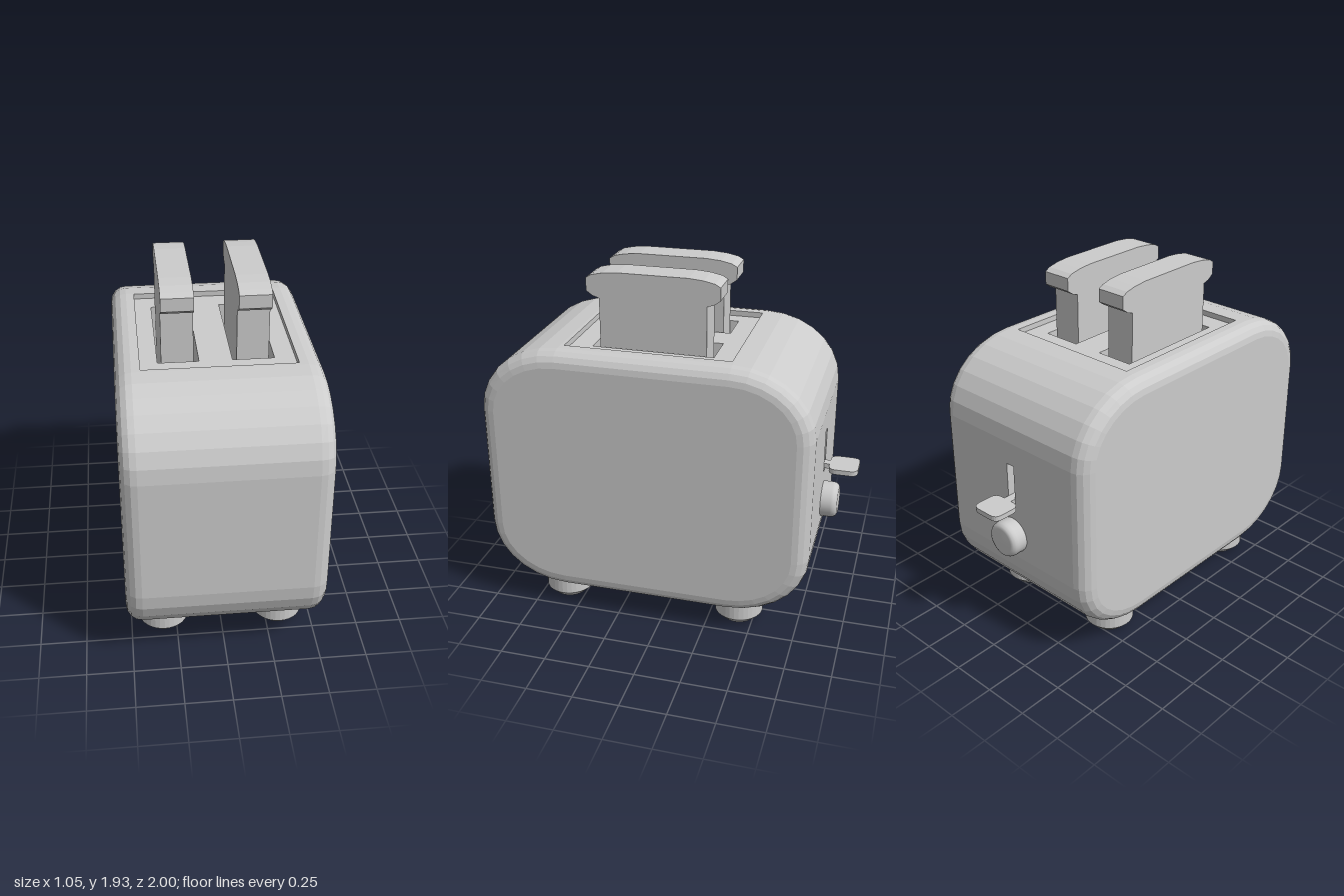
import * as THREE from 'three';

const flat = new THREE.MeshStandardMaterial({ color: 0xcccccc, flatShading: true });
const smooth = new THREE.MeshStandardMaterial({ color: 0xcccccc });

const rect = (x0, y0, x1, y1, Type = THREE.Shape) =>
  new Type([[x0, y0], [x1, y0], [x1, y1], [x0, y1]].map(p => new THREE.Vector2(...p)));

const extrude = (shape, depth) =>
  new THREE.ExtrudeGeometry(shape, { depth, bevelEnabled: false, curveSegments: 6 });

// Horizontal slab: shape drawn in (x, -z), rising from y
const slab = (shape, y, height) => extrude(shape, height).rotateX(-Math.PI / 2).translate(0, y, 0);

// Body dimensions
const BACK = -0.81, FRONT = 1, BOTTOM = 0.13, TOP = 1.56, RZ = 0.44, RY = 0.37;
const OPEN = 0.41, STEPS = 7;

// Side profile as [z, y] points, shrunk by inset
function profile(inset) {
  const pts = [];
  const centres = [[FRONT - RZ, TOP - RY], [BACK + RZ, TOP - RY], [BACK + RZ, BOTTOM + RY], [FRONT - RZ, BOTTOM + RY]];
  centres.forEach(([cz, cy], q) => {
    for (let i = 0; i <= STEPS; i++) {
      const a = (q + i / STEPS) * Math.PI / 2;
      pts.push([cz + (RZ - inset) * Math.cos(a), cy + (RY - inset) * Math.sin(a)]);
    }
  });
  return pts;
}

// Rounded shell, left open at the top and back where the panels sit
function shellGeometry() {
  const half = [[OPEN, 0]];
  for (let i = 0; i <= 4; i++) {
    const a = i / 4 * Math.PI / 2;
    half.push([0.44 + 0.085 * Math.sin(a), 0.085 * (1 - Math.cos(a))]);
  }
  const rings = [...half.map(([x, t]) => [-x, t]).reverse(), ...half];
  const pos = [], idx = [];
  for (const [x, t] of rings) for (const [z, y] of profile(t)) pos.push(x, y, z);
  const n = 4 * (STEPS + 1), middle = half.length - 1;
  for (let i = 0; i < rings.length - 1; i++) {
    for (let j = 0; j < n; j++) {
      if (i === middle && (j === STEPS || j === 2 * STEPS + 1)) continue;
      const k = (j + 1) % n;
      const a = i * n + j, b = i * n + k, c = b + n, d = a + n;
      idx.push(a, d, c, a, c, b);
    }
  }
  const last = (rings.length - 1) * n;
  for (let j = 1; j < n - 1; j++) {
    idx.push(0, j, j + 1, last, last + j + 1, last + j);
  }
  const g = new THREE.BufferGeometry();
  g.setAttribute('position', new THREE.Float32BufferAttribute(pos, 3));
  g.setIndex(idx);
  g.computeVertexNormals();
  return g;
}

// Bread slice: narrow body with a wider rounded crown
function toastGeometry() {
  const half = [[0.29, 1.02], [0.29, 1.79], [0.325, 1.8], [0.36, 1.825], [0.36, 1.895], [0.33, 1.912], [0.27, 1.925], [0.19, 1.932]];
  const pts = [...half, ...half.map(([z, y]) => [-z, y]).reverse()];
  const shape = new THREE.Shape(pts.map(p => new THREE.Vector2(...p)));
  return extrude(shape, 0.165).rotateY(Math.PI / 2).translate(-0.0825, 0, 0.095);
}

export function createModel() {
  const group = new THREE.Group();
  const add = (name, geometry, material = flat, x = 0, y = 0, z = 0) => {
    const mesh = new THREE.Mesh(geometry, material);
    mesh.name = name;
    mesh.position.set(x, y, z);
    group.add(mesh);
    return mesh;
  };

  add('body', shellGeometry());

  // Recessed top: flush rim, then a lower tray with two slots
  const rim = rect(-OPEN, -(FRONT - RZ), OPEN, -(BACK + RZ));
  rim.holes.push(rect(-0.395, -0.54, 0.395, 0.36, THREE.Path));
  add('topRim', slab(rim, TOP - 0.03, 0.03));

  const tray = rect(-OPEN, -(FRONT - RZ), OPEN, -(BACK + RZ));
  for (const [x0, x1] of [[-0.305, -0.095], [0.075, 0.29]]) {
    tray.holes.push(rect(x0, -0.42, x1, 0.24, THREE.Path));
  }
  add('slotTray', slab(tray, 1, TOP - 0.03 - 1));
  add('slotFloor', new THREE.BoxGeometry(0.8, 0.02, 0.9), flat, 0, 1, 0.09);

  // Back panel with the lever track
  const panel = rect(-OPEN, BOTTOM + RY, OPEN, TOP - RY);
  panel.holes.push(rect(-0.025, 0.81, 0.025, 1.06, THREE.Path));
  add('backPanel', extrude(panel, 0.08), flat, 0, 0, BACK);
  add('leverTrackBack', new THREE.BoxGeometry(0.1, 0.35, 0.02), flat, 0, 0.935, BACK + 0.09);

  // Toast
  for (const [name, x] of [['rightToast', -0.2025], ['leftToast', 0.1825]]) {
    add(name, toastGeometry(), flat, x);
  }

  // Lever: rounded paddle on a thin neck
  const w = 0.088, r = 0.045, near = 0.84, far = 1;
  const paddle = new THREE.Shape();
  paddle.moveTo(-0.025, 0.74);
  paddle.lineTo(0.025, 0.74);
  paddle.lineTo(0.025, near);
  paddle.lineTo(w - r, near);
  paddle.quadraticCurveTo(w, near, w, near + r);
  paddle.lineTo(w, far - r);
  paddle.quadraticCurveTo(w, far, w - r, far);
  paddle.lineTo(r - w, far);
  paddle.quadraticCurveTo(-w, far, -w, far - r);
  paddle.lineTo(-w, near + r);
  paddle.quadraticCurveTo(-w, near, r - w, near);
  paddle.lineTo(-0.025, near);
  add('lever', slab(paddle, 0.837, 0.028));

  // Browning knob
  const knob = [[0.1, -0.02], [0.1, 0.055], [0.097, 0.07], [0.088, 0.083], [0.072, 0.09], [0, 0.09]];
  add('knob', new THREE.LatheGeometry(knob.map(p => new THREE.Vector2(...p)), 32).rotateX(-Math.PI / 2),
    smooth, 0, 0.635, BACK);

  // Feet with a chamfered base
  const foot = [[0, 0], [0.09, 0], [0.135, 0.045], [0.135, 0.2]].map(p => new THREE.Vector2(...p));
  for (const x of [-0.32, 0.32]) {
    for (const [name, z] of [['frontFoot', 0.605], ['backFoot', -0.413]]) {
      add(name, new THREE.LatheGeometry(foot, 32), flat, x, 0, z);
    }
  }
  return group;
}
